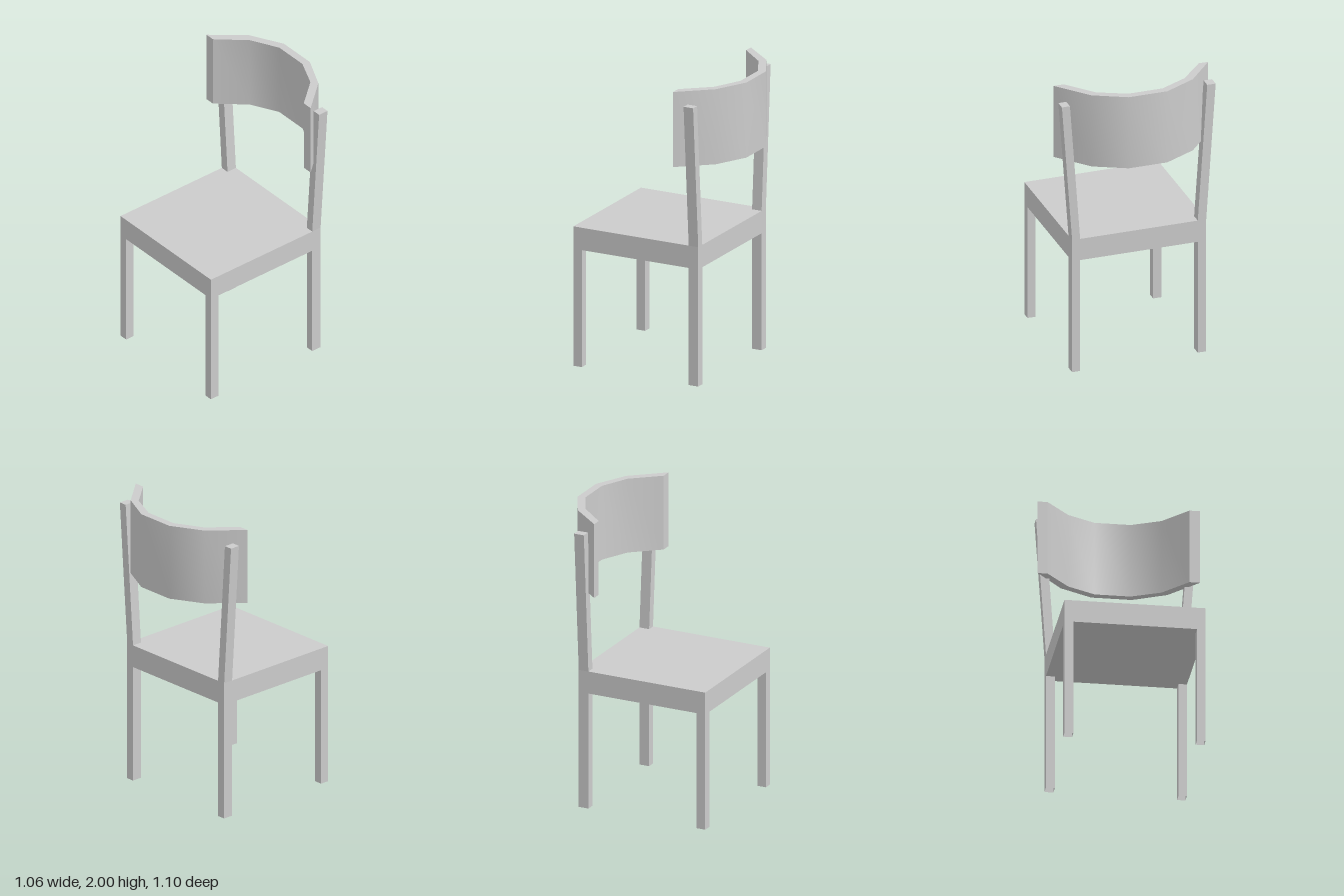
import * as THREE from 'three';
import { toCreasedNormals } from 'three/addons/utils/BufferGeometryUtils.js';

const material = new THREE.MeshStandardMaterial({ color: 0xcccccc, side: THREE.DoubleSide });

// Box given by its extents, with the top optionally shifted sideways or the bottom left open
function block(name, [x0, x1], [y0, y1], [z0, z1], { lean = 0, openBottom = false } = {}) {
  let geo = new THREE.BoxGeometry(x1 - x0, y1 - y0, z1 - z0);
  geo.translate((x0 + x1) / 2, (y0 + y1) / 2, (z0 + z1) / 2);
  if (openBottom) {
    const index = Array.from(geo.index.array);
    index.splice(18, 6); // the -y face
    geo.setIndex(index);
    geo.clearGroups();
  }
  if (lean) {
    const pos = geo.attributes.position;
    for (let i = 0; i < pos.count; i++) {
      if (pos.getY(i) > (y0 + y1) / 2) pos.setX(i, pos.getX(i) + lean);
    }
    geo = geo.toNonIndexed();
    geo.computeVertexNormals();
  }
  const mesh = new THREE.Mesh(geo, material);
  mesh.name = name;
  return mesh;
}

// Faceted curved panel, extruded upwards from its plan outline
function createBackrest() {
  const outline = [
    [-0.53, -0.225], [-0.35, -0.435], [-0.135, -0.548], [0.13, -0.548], [0.347, -0.44], [0.53, -0.225],
    [0.46, -0.225], [0.305, -0.408], [0.115, -0.497], [-0.12, -0.497], [-0.305, -0.402], [-0.465, -0.225],
  ];
  const shape = new THREE.Shape(outline.map(([x, z]) => new THREE.Vector2(x, -z)));
  const geo = new THREE.ExtrudeGeometry(shape, { depth: 0.51, bevelEnabled: false });
  geo.rotateX(-Math.PI / 2);
  geo.translate(0, 1.49, 0);
  const mesh = new THREE.Mesh(toCreasedNormals(geo, THREE.MathUtils.degToRad(40)), material);
  mesh.name = 'backrest';
  return mesh;
}

export function createModel() {
  const chair = new THREE.Group();
  chair.name = 'chair';
  chair.add(block('seat', [-0.465, 0.455], [0.795, 0.947], [-0.37, 0.547]));

  const sides = [
    { side: 'Left', x: [0.4, 0.455], lean: 0.07 },
    { side: 'Right', x: [-0.465, -0.407], lean: -0.065 },
  ];
  for (const { side, x, lean } of sides) {
    // Hollow legs below the seat
    chair.add(block(`front${side}Leg`, x, [0, 0.795], [0.485, 0.547], { openBottom: true }));
    chair.add(block(`back${side}Leg`, x, [0, 0.795], [-0.37, -0.3], { openBottom: true }));
    // Outward leaning post that carries the backrest
    chair.add(block(`back${side}Post`, x, [0.947, 1.91], [-0.37, -0.3], { lean }));
  }

  chair.add(createBackrest());
  return chair;
}
